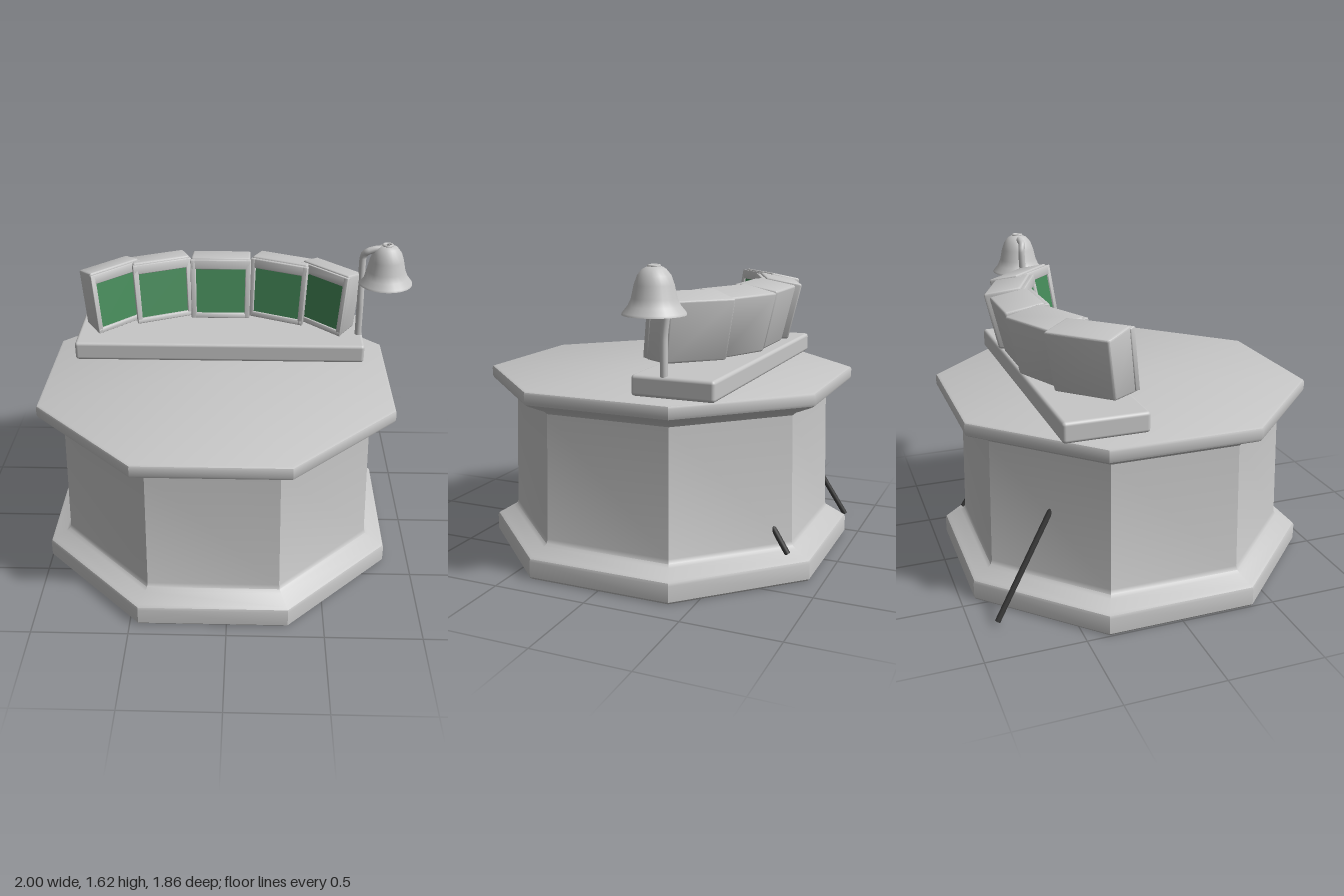
import * as THREE from 'three';
import { toCreasedNormals } from 'three/addons/utils/BufferGeometryUtils.js';
import { RoundedBoxGeometry } from 'three/addons/geometries/RoundedBoxGeometry.js';

const grey = new THREE.MeshStandardMaterial({ color: 0xc6c6c6 });
grey.name = 'lightGrey';
const greyOpen = new THREE.MeshStandardMaterial({ color: 0xc6c6c6, side: THREE.DoubleSide });
greyOpen.name = 'lightGreyShade';
const green = new THREE.MeshStandardMaterial({ color: 0x458a59 });
green.name = 'screenGreen';
const dark = new THREE.MeshStandardMaterial({ color: 0x3a3a3a });
dark.name = 'cableDark';

const CX = -0.07; // centre line of the desk

function add(group, name, geometry, material) {
  const m = new THREE.Mesh(geometry, material);
  m.name = name;
  group.add(m);
  return m;
}

// Octagonal desk: an eight-sided lathe, profile given as [apothem, y]
function makeDesk(group) {
  const profile = [
    [0, 0], [0.92, 0], [0.93, 0.012], [0.93, 0.095], [0.925, 0.108], [0.91, 0.117],
    [0.845, 0.15], [0.828, 0.163], [0.82, 0.185], [0.803, 0.845], [0.815, 0.858],
    [0.905, 0.9], [0.925, 0.912], [0.93, 0.925], [0.93, 0.965], [0.926, 0.975], [0.915, 0.98], [0, 0.98],
  ].map(([a, y]) => new THREE.Vector2(a / Math.cos(Math.PI / 8), y));
  const geo = new THREE.LatheGeometry(profile, 8, Math.PI / 8);
  add(group, 'desk', toCreasedNormals(geo, 0.6), grey).position.x = CX;
}

// One monitor: a leaning box spanned by the front edge u, the depth vector b and the height
function makeMonitor(name, mid, yaw, b) {
  const g = new THREE.Group();
  g.name = name;
  const H = 0.343, D = 0.22;
  // s runs across, h from bottom to top, d from front to back
  const part = (label, material, s0, s1, h0, h1, d0, d1, r) => {
    const w = s1 - s0, hh = (h1 - h0) * H, dd = (d1 - d0) * D;
    const geo = r ? new RoundedBoxGeometry(w, hh, dd, 2, r) : new THREE.BoxGeometry(w, hh, dd);
    const p = geo.attributes.position;
    for (let i = 0; i < p.count; i++) {
      const h = p.getY(i) / H + (h0 + h1) / 2;
      const d = -p.getZ(i) / D + (d0 + d1) / 2;
      const s = (p.getX(i) + (s0 + s1) / 2) * (0.96 + 0.04 * h);
      const f = 0.76 * d + 0.24 * h;
      p.setXYZ(i,
        CX + mid[0] + Math.cos(yaw) * s + b[0] * f,
        1.137 + h * (H - 0.04 * d),
        mid[1] + Math.sin(yaw) * s + b[1] * f);
    }
    add(g, label, toCreasedNormals(geo, 0.6), material);
  };
  part('casing', grey, -0.168, 0.168, 0, 1, 0.1, 1, 0.012);
  part('screen', green, -0.15, 0.15, 0.06, 0.88, 0.06, 0.09, 0);
  for (const k of [-1, 1]) {
    const x = k * 0.157;
    part('frameSide', grey, x - 0.0155, x + 0.0155, 0.02, 0.97, 0, 0.18, 0.005);
  }
  part('frameBottom', grey, -0.172, 0.172, 0.02, 0.1, 0, 0.18, 0.005);
  part('frameTop', grey, -0.172, 0.172, 0.82, 0.97, 0, 0.18, 0.005);
  return g;
}

function makeLamp() {
  const g = new THREE.Group();
  g.name = 'lamp';
  // Bent post and arm
  const path = new THREE.CatmullRomCurve3([
    [0.715, 1.07, -0.3], [0.715, 1.27, -0.3], [0.715, 1.4, -0.315], [0.715, 1.54, -0.32],
    [0.735, 1.575, -0.31], [0.78, 1.59, -0.31], [0.84, 1.59, -0.31],
  ].map((p) => new THREE.Vector3(...p)), false, 'catmullrom', 0.3);
  add(g, 'post', new THREE.TubeGeometry(path, 32, 0.019, 12), grey);
  // Bell shade, open below
  const bell = [
    [0.15, 1.395], [0.147, 1.405], [0.122, 1.435], [0.106, 1.47], [0.093, 1.53],
    [0.078, 1.572], [0.055, 1.6], [0.03, 1.612], [0.012, 1.612],
  ].map(([r, y]) => new THREE.Vector2(r, y));
  add(g, 'shade', new THREE.LatheGeometry(bell, 24), greyOpen).position.set(0.845, 0, -0.31);
  const ring = add(g, 'shadeRing', new THREE.TorusGeometry(0.024, 0.008, 8, 16), grey);
  ring.rotation.x = Math.PI / 2;
  ring.position.set(0.845, 1.613, -0.31);
  return g;
}

// Straight cable between two points
function makeCable(group, name, from, to) {
  const a = new THREE.Vector3(...from), c = new THREE.Vector3(...to);
  const m = add(group, name, new THREE.CylinderGeometry(0.015, 0.015, a.distanceTo(c), 10), dark);
  m.position.copy(a).lerp(c, 0.5);
  m.quaternion.setFromUnitVectors(new THREE.Vector3(0, 1, 0), c.sub(a).normalize());
}

export function createModel() {
  const model = new THREE.Group();
  model.name = 'controlDesk';
  makeDesk(model);

  // Raised shelf under the monitors
  add(model, 'shelf', new RoundedBoxGeometry(1.62, 0.105, 0.43, 3, 0.018), grey)
    .position.set(CX, 1.033, -0.35);

  // Arc of five monitors, mirrored about the middle one
  model.add(makeMonitor('middleMonitor', [0, -0.36], 0, [0, -0.3]));
  for (const k of [-1, 1]) {
    const side = k > 0 ? 'left' : 'right';
    model.add(makeMonitor(side + 'InnerMonitor', [k * 0.31, -0.335], k * 0.41, [k * 0.075, -0.275]));
    model.add(makeMonitor(side + 'OuterMonitor', [k * 0.545, -0.25], k * 0.785, [k * 0.125, -0.205]));
  }

  model.add(makeLamp());

  // Cables leaving the back of the desk
  makeCable(model, 'longCable', [-0.635, 0.56, -0.55], [-0.72, 0.02, -0.87]);
  makeCable(model, 'shortCable', [0.333, 0.28, -0.73], [0.34, 0.14, -0.82]);
  return model;
}
